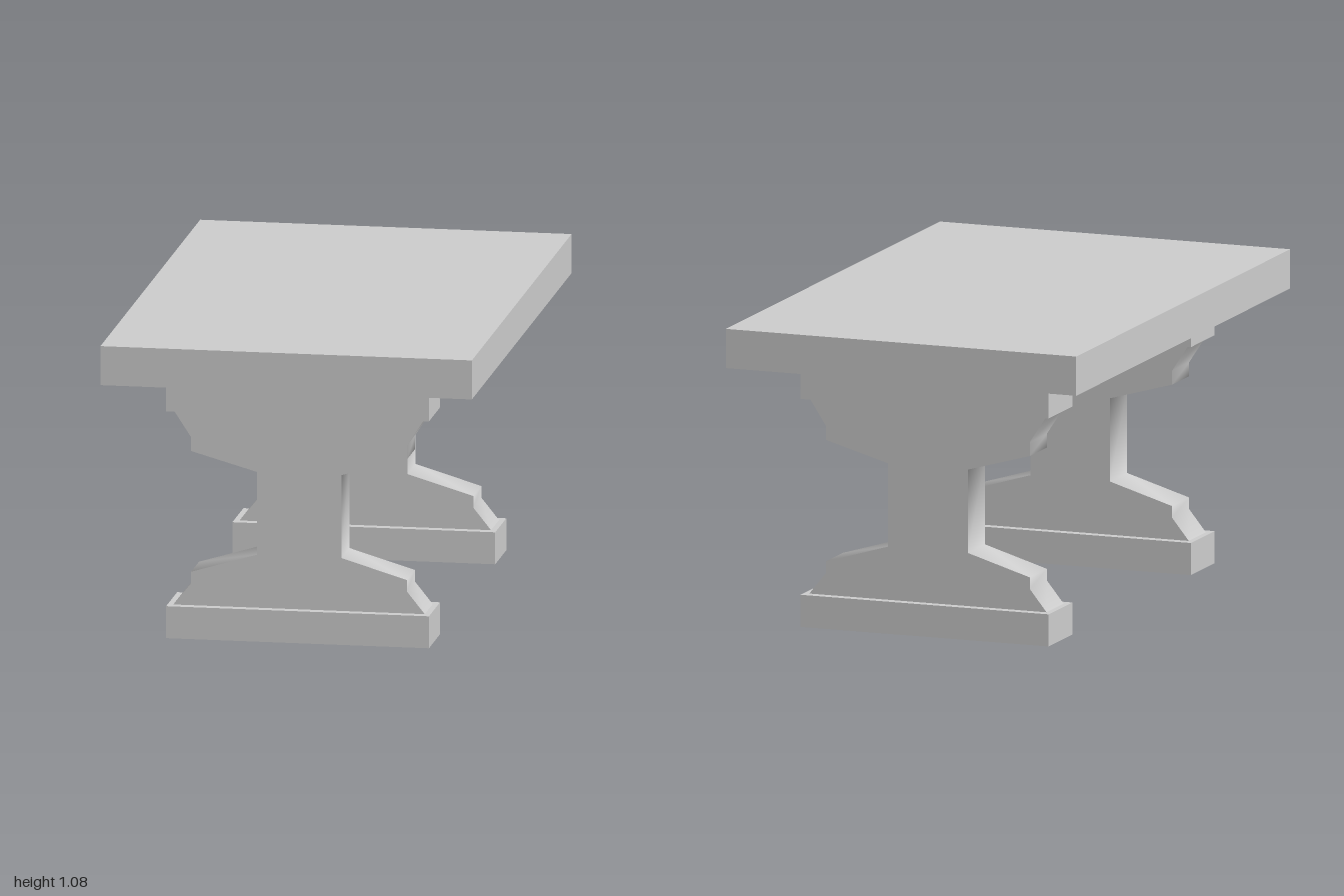
import * as THREE from 'three';
import { toCreasedNormals } from 'three/addons/utils/BufferGeometryUtils.js';

const material = new THREE.MeshStandardMaterial({ color: 0xcccccc });

// Box spanning y0..y1, centred on x and z
function slab(name, width, y0, y1, depth) {
  const mesh = new THREE.Mesh(new THREE.BoxGeometry(width, y1 - y0, depth), material);
  mesh.name = name;
  mesh.position.y = (y0 + y1) / 2;
  return mesh;
}

// Waisted pedestal: half profile from bottom to top, mirrored in x
function pedestalGeometry(depth) {
  const half = [
    [0.44, 0.113], [0.378, 0.19], [0.378, 0.231], [0.148, 0.30],
    [0.148, 0.593], [0.378, 0.658], [0.378, 0.707], [0.44, 0.802],
  ];
  const right = half.map(([x, y]) => new THREE.Vector2(x, y));
  const left = half.map(([x, y]) => new THREE.Vector2(-x, y)).reverse();
  const geometry = new THREE.ExtrudeGeometry(new THREE.Shape([...right, ...left]), {
    depth, bevelEnabled: false,
  });
  geometry.translate(0, 0, -depth / 2);
  // Smooth along the profile, sharp at the front and back edges
  return toCreasedNormals(geometry, THREE.MathUtils.degToRad(85));
}

function createTrestle(name, z) {
  const trestle = new THREE.Group();
  trestle.name = name;
  const pedestal = new THREE.Mesh(pedestalGeometry(0.16), material);
  pedestal.name = 'pedestal';
  trestle.add(
    slab('foot', 0.92, 0, 0.113, 0.222),
    pedestal,
    slab('cap', 0.92, 0.802, 0.938, 0.222),
  );
  trestle.position.z = z;
  return trestle;
}

export function createModel() {
  const table = new THREE.Group();
  table.name = 'table';
  table.add(
    slab('tabletop', 1.3, 0.938, 1.076, 2),
    createTrestle('frontTrestle', 0.661),
    createTrestle('backTrestle', -0.668),
  );
  return table;
}
